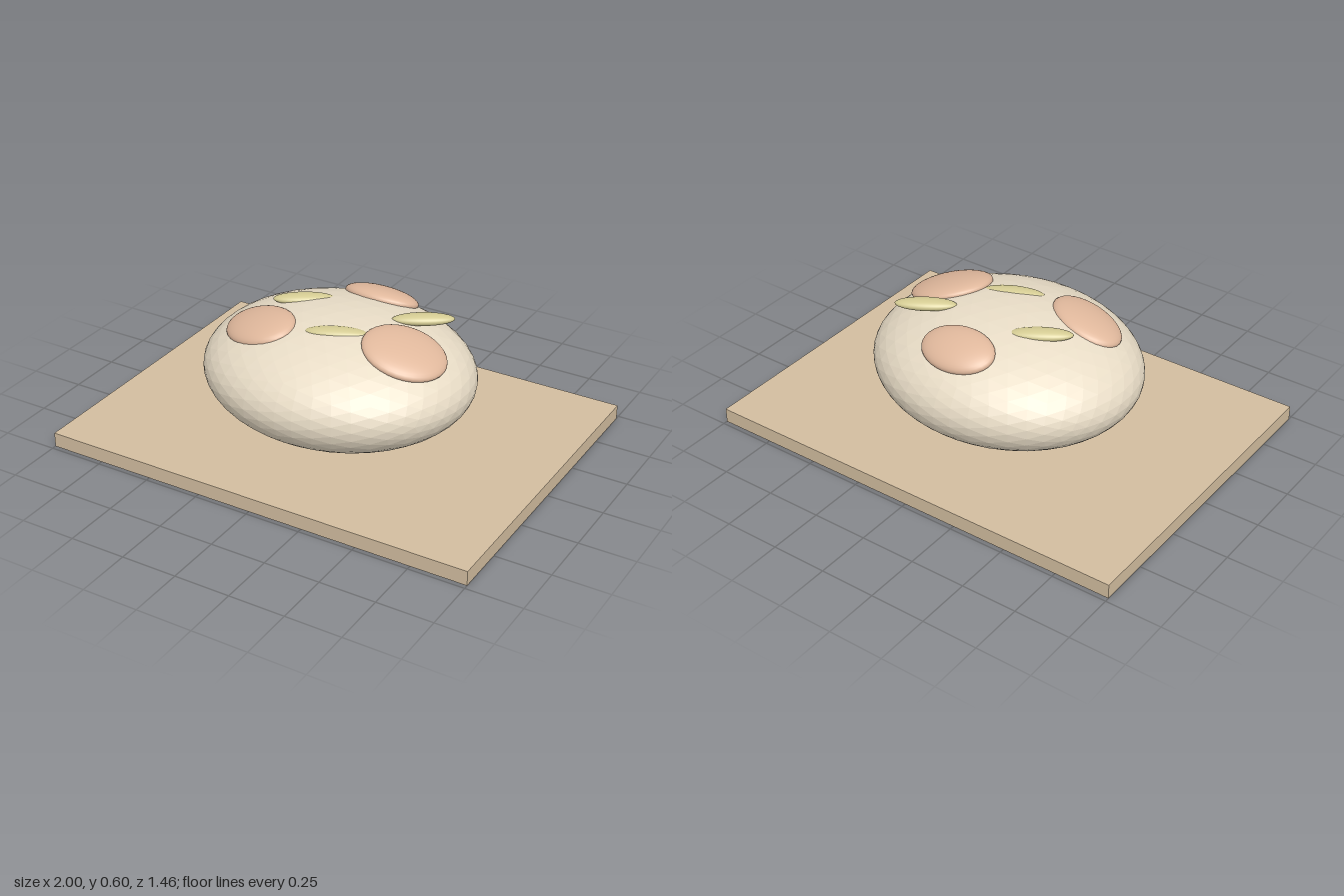
import * as THREE from 'three';

const UP = new THREE.Vector3(0, 1, 0);
const LOAF = { y: 0.325, rx: 0.61, ry: 0.27, rz: 0.53 };

function material(color, flatShading = false) {
  return new THREE.MeshStandardMaterial({ color, flatShading });
}

// Ellipsoid with the given radii
function ellipsoid(name, geometry, mat, position, radii) {
  const mesh = new THREE.Mesh(geometry, mat);
  mesh.name = name;
  mesh.position.set(...position);
  mesh.scale.set(...radii);
  return mesh;
}

// Outward direction of the loaf surface above (x, z)
function loafNormal(x, z) {
  const h = Math.sqrt(1 - (x / LOAF.rx) ** 2 - (z / LOAF.rz) ** 2);
  return new THREE.Vector3(x / LOAF.rx ** 2, h / LOAF.ry, z / LOAF.rz ** 2).normalize();
}

export function createModel() {
  const model = new THREE.Group();
  model.name = 'loafOnBoard';

  // Cutting board
  const board = new THREE.Mesh(new THREE.BoxGeometry(2, 0.066, 1.46), material(0xd2bd9f));
  board.name = 'board';
  board.position.y = 0.033;
  model.add(board);

  // Faceted loaf, sunk slightly into the board
  model.add(ellipsoid('loaf', new THREE.IcosahedronGeometry(1, 7), material(0xe8dcc6, true),
    [0, LOAF.y, 0], [LOAF.rx, LOAF.ry, LOAF.rz]));

  // Flattened patches lying along the crust: x, y, z, radius x, radius z, yaw
  const round = new THREE.SphereGeometry(1, 32, 20);
  const patchMaterial = material(0xe0b89c);
  [
    [0.025, 0.534, -0.32, 0.174, 0.117, 0],
    [0.355, 0.529, 0.075, 0.185, 0.163, 0.3],
    [-0.285, 0.53, 0.175, 0.182, 0.133, -0.3],
  ].forEach(([x, y, z, rx, rz, yaw], i) => {
    const patch = ellipsoid(`crustPatch${i + 1}`, round, patchMaterial, [x, y, z], [rx, 0.047, rz]);
    patch.quaternion.setFromUnitVectors(UP, loafNormal(x, z))
      .multiply(new THREE.Quaternion().setFromAxisAngle(UP, yaw));
    model.add(patch);
  });

  // Slim seeds lying level on top: x, z, yaw
  const seedMaterial = material(0xd3ca92);
  [
    [0.315, -0.162, 0.55],
    [-0.22, -0.07, 0.55],
    [0.062, 0.132, 0.4],
  ].forEach(([x, z, yaw], i) => {
    const seed = ellipsoid(`seed${i + 1}`, round, seedMaterial, [x, 0.571, z], [0.134, 0.025, 0.042]);
    seed.rotation.y = yaw;
    model.add(seed);
  });

  return model;
}
